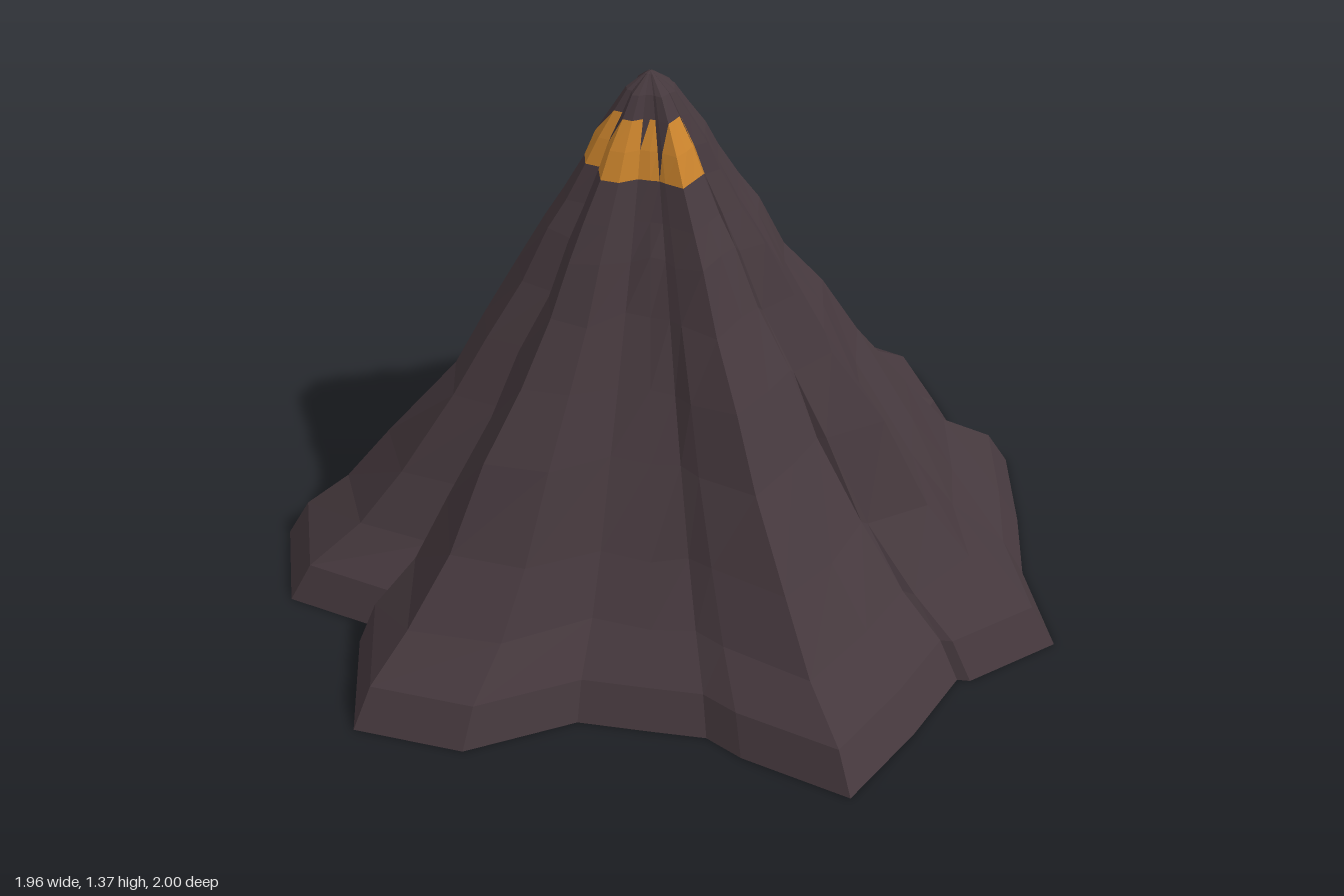
import * as THREE from 'three';

// Peak position in plan
const PEAK_X = -0.13, PEAK_Z = 0;

// Lobed foot of the mountain as x, z pairs, running from +x towards +z
const FOOT = [
  [0.975, -0.01], [0.83, 0.2], [0.8, 0.21], [0.77, 0.42], [0.71, 0.67], [0.43, 0.67], [0.33, 0.65],
  [0.2, 0.69], [0.03, 0.74], [-0.17, 0.94], [-0.44, 0.995], [-0.59, 0.74], [-0.59, 0.68],
  [-0.83, 0.69], [-0.98, 0.48], [-0.88, 0.18], [-0.82, 0], [-0.82, -0.2], [-0.8, -0.22],
  [-0.915, -0.47], [-0.8, -0.67], [-0.46, -0.79], [-0.41, -0.96], [-0.17, -1], [0.04, -0.88],
  [0.27, -0.87], [0.43, -0.71], [0.43, -0.63], [0.63, -0.63], [0.74, -0.41], [0.82, -0.22],
];

// Height and spread of each cross-section
const LEVELS = [
  [0.02, 1], [0.12, 0.94], [0.21, 0.81], [0.36, 0.68], [0.56, 0.535], [0.72, 0.435],
  [0.87, 0.335], [1.0, 0.265], [1.08, 0.215], [1.17, 0.163], [1.235, 0.132], [1.3, 0.09],
  [1.35, 0.058], [1.385, 0.012],
];
const LAVA_LEVEL = 9;             // the lava starts on this cross-section
const GULLIES = [12, 18, 21, 27]; // foot points whose valleys cut deeper
// Ridges with their own spread on some cross-sections
const RIDGES = {
  0: { 2: 0.775, 4: 0.565 },
  10: { 4: 0.55 },
  14: { 2: 0.82, 3: 0.71, 4: 0.505 },
};

// Repeatable roughness between -1 and 1
function rough(i, j) {
  const s = Math.sin(i * 12.99 + j * 78.23) * 43758.55;
  return (s - Math.floor(s)) * 2 - 1;
}

// One point on the rocky slope
function slopePoint(i, j) {
  const [x, z] = FOOT[i];
  const [y, spread] = LEVELS[j];
  let s = RIDGES[i]?.[j] ?? spread;
  let lift = 0;
  if (j > 1 && j < LEVELS.length - 1) {
    s *= 1 + rough(i, j) * 0.015;
    if (GULLIES.includes(i) && y < 0.8) s *= 0.96;
    if (j < LAVA_LEVEL - 1) lift = rough(i, j + 20) * 0.015;
  }
  return [PEAK_X + (x - PEAK_X) * s, y + lift, PEAK_Z + (z - PEAK_Z) * s];
}

// Lava covers the front of the summit; dark ribs split it into tongues
function isLava(i, j, upper) {
  if (i < 1 || i > 18) return false;
  const rib = i === 5 || i === 11;
  if (j === LAVA_LEVEL) return !(rib && upper);
  return j === LAVA_LEVEL + 1 && !rib && !(upper && i % 3 === 1);
}

function toGeometry(positions) {
  const geo = new THREE.BufferGeometry();
  geo.setAttribute('position', new THREE.Float32BufferAttribute(positions, 3));
  geo.computeVertexNormals();
  return geo;
}

// Triangles of the mountain skin, sorted into rock and lava
function buildSlopes() {
  const rock = [], lava = [];
  const n = FOOT.length, last = LEVELS.length - 1;
  for (let i = 0; i < n; i++) {
    const k = (i + 1) % n;
    for (let j = 0; j < last; j++) {
      const a = slopePoint(i, j), b = slopePoint(k, j);
      const c = slopePoint(i, j + 1), d = slopePoint(k, j + 1);
      (isLava(i, j, false) ? lava : rock).push(...a, ...c, ...b);
      (isLava(i, j, true) ? lava : rock).push(...b, ...c, ...d);
    }
    // close the summit
    rock.push(...slopePoint(i, last), PEAK_X, 1.39, PEAK_Z, ...slopePoint(k, last));
  }
  return { rock: toGeometry(rock), lava: toGeometry(lava) };
}

export function createModel() {
  const rock = new THREE.MeshStandardMaterial({ color: 0x45383d, flatShading: true, side: THREE.DoubleSide });
  rock.name = 'dark rock';
  const glow = new THREE.MeshStandardMaterial({ color: 0xc8822c, flatShading: true, side: THREE.DoubleSide });
  glow.name = 'orange lava';

  const group = new THREE.Group();
  group.name = 'volcano';
  const add = (name, geometry, material, parent = group) => {
    const mesh = new THREE.Mesh(geometry, material);
    mesh.name = name;
    parent.add(mesh);
    return mesh;
  };

  const skin = buildSlopes();
  add('slopes', skin.rock, rock);
  add('summitLava', skin.lava, glow);

  // Small vent hidden in the hollow: a glowing ring under rock ribs
  const vent = new THREE.Group();
  vent.name = 'innerVent';
  vent.position.set(-0.07, 0.14, 0.06);
  group.add(vent);
  add('ventRing', new THREE.TorusGeometry(0.06, 0.013, 6, 14).rotateX(Math.PI / 2), glow, vent);
  for (let i = 0; i < 6; i++) {
    const a = (i / 6) * Math.PI * 2;
    const path = new THREE.LineCurve3(
      new THREE.Vector3(Math.cos(a) * 0.058, 0.012, Math.sin(a) * 0.058),
      new THREE.Vector3(Math.cos(a) * 0.02, 0.11, Math.sin(a) * 0.02));
    add('ventRib', new THREE.TubeGeometry(path, 1, 0.01, 4), rock, vent);
  }
  return group;
}
